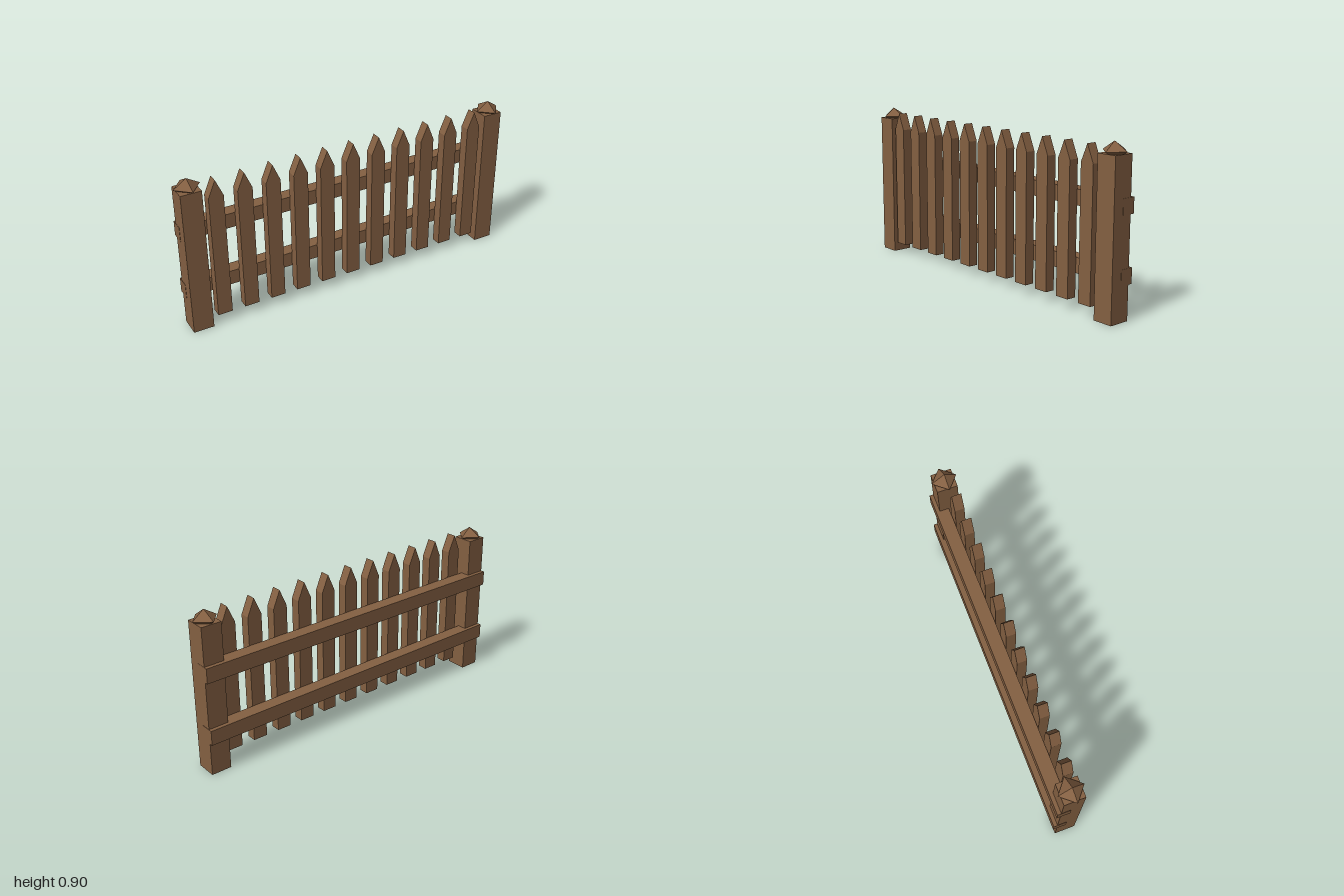
import * as THREE from 'three';

export function createModel() {
  const fence = new THREE.Group();
  fence.name = 'picketFence';
  const wood = new THREE.MeshStandardMaterial({ color: 0x846042, flatShading: true });
  wood.name = 'brown wood';

  const add = (name, geometry, x, y, z) => {
    const mesh = new THREE.Mesh(geometry, wood);
    mesh.name = name;
    mesh.position.set(x, y, z);
    fence.add(mesh);
    return mesh;
  };

  // Square end posts, each with a diamond-shaped cap sunk into its top
  const postGeometry = new THREE.BoxGeometry(0.115, 0.84, 0.118);
  const capGeometry = new THREE.OctahedronGeometry(0.074);
  capGeometry.rotateY(THREE.MathUtils.degToRad(5)); // slightly turned and tipped forward
  capGeometry.rotateX(THREE.MathUtils.degToRad(3));
  capGeometry.scale(1, 0.65, 1);
  for (const [side, x] of [['right', -0.925], ['left', 0.923]]) {
    add(side + 'Post', postGeometry, x, 0.42, 0.003);
    add(side + 'PostCap', capGeometry, x, 0.853, 0.0035);
  }

  // Two rails along the back, running behind the posts
  const railGeometry = new THREE.BoxGeometry(1.966, 0.084, 0.076);
  add('lowerRail', railGeometry, -0.001, 0.2305, -0.04);
  add('upperRail', railGeometry, -0.001, 0.5845, -0.04);

  // Eleven pointed pickets in front of the rails
  const w = 0.0415;
  const outline = new THREE.Shape([
    new THREE.Vector2(-w, 0.06),
    new THREE.Vector2(w, 0.06),
    new THREE.Vector2(w, 0.782),
    new THREE.Vector2(0, 0.878),
    new THREE.Vector2(-w, 0.782),
  ]);
  const picketGeometry = new THREE.ExtrudeGeometry(outline, { depth: 0.056, bevelEnabled: false });
  for (let i = 0; i < 11; i++) {
    add('picket' + (i + 1), picketGeometry, -0.795 + i * 0.1588, 0, 0.002);
  }
  return fence;
}
